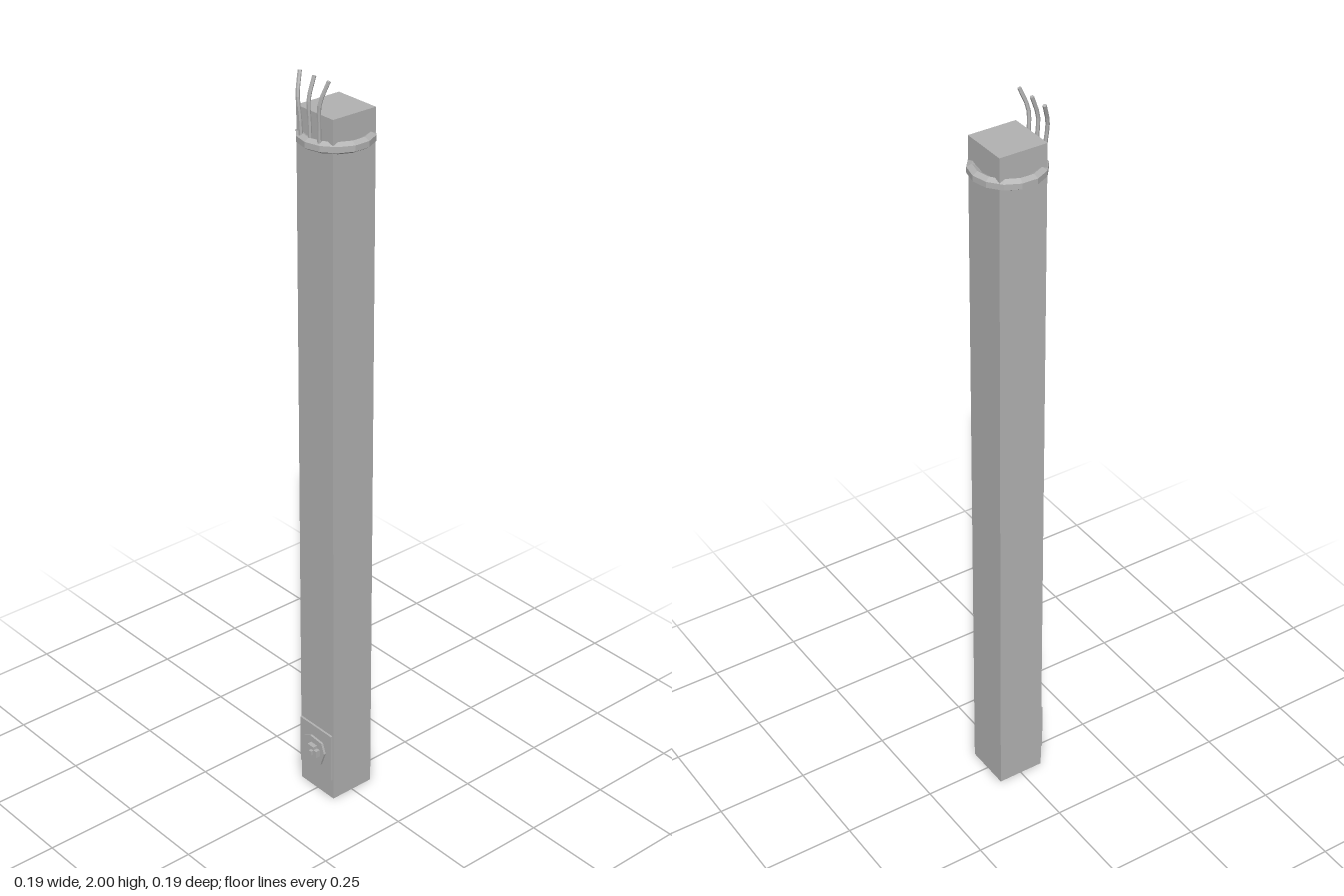
import * as THREE from 'three';

export function createModel() {
  const group = new THREE.Group();
  const grey = new THREE.MeshStandardMaterial({ color: 0xb2b2b2, flatShading: true });
  grey.name = 'grey';

  const add = (name, geometry, x = 0, y = 0, z = 0) => {
    const mesh = new THREE.Mesh(geometry, grey);
    mesh.name = name;
    mesh.position.set(x, y, z);
    group.add(mesh);
    return mesh;
  };

  // Square post
  add('post', new THREE.BoxGeometry(0.13, 1.91, 0.13), 0, 0.955, 0);

  // Collar: 14-sided ring with a hexagonal section, its flat side outwards
  const section = [];
  for (let i = 0; i <= 6; i++) {
    const a = -Math.PI / 2 + (i * Math.PI) / 3;
    section.push(new THREE.Vector2(0.082 + 0.015 * Math.cos(a), 0.015 * Math.sin(a)));
  }
  add('collar', new THREE.LatheGeometry(section, 14), 0, 1.838, 0);

  // Three bent wires rising from the collar; the outer ones splay sideways
  for (const [name, side] of [['rightWire', -1], ['middleWire', 0], ['leftWire', 1]]) {
    const path = new THREE.CatmullRomCurve3([
      new THREE.Vector3(side * 0.033, 1.84, 0.078),
      new THREE.Vector3(side * 0.034, 1.89, 0.08),
      new THREE.Vector3(side * 0.039, 1.945, 0.082),
      new THREE.Vector3(side * 0.051, 1.998, 0.065),
    ]);
    add(name, new THREE.TubeGeometry(path, 8, 0.005, 6));
    // Closed tip
    const tip = add(name + 'Tip', new THREE.CircleGeometry(0.005, 6), side * 0.051, 1.998, 0.065);
    tip.lookAt(tip.position.clone().add(path.getTangent(1)));
  }

  // Plate near the foot
  add('plate', new THREE.BoxGeometry(0.124, 0.14, 0.02), 0, 0.13, 0.061);

  // Plain raised frame on the plate
  const outline = (s) => [[-0.04, 0.025], [-0.015, 0.038], [0.03, 0.034], [0.041, 0.005], [0.026, -0.036], [-0.028, -0.028]]
    .map(([x, y]) => new THREE.Vector2(x * s, y * s));
  const frame = new THREE.Shape(outline(1));
  frame.holes.push(new THREE.Path(outline(0.82)));
  add('frame', new THREE.ExtrudeGeometry(frame, { depth: 0.007, bevelEnabled: false }), 0, 0.13, 0.07);

  // Small studs inside the frame
  for (const [x, y, w, h] of [[-0.006, 0.008, 0.024, 0.009], [0.011, -0.006, 0.012, 0.02], [-0.008, -0.012, 0.01, 0.012]]) {
    add('stud', new THREE.BoxGeometry(w, h, 0.014), x, 0.13 + y, 0.077);
  }

  return group;
}
